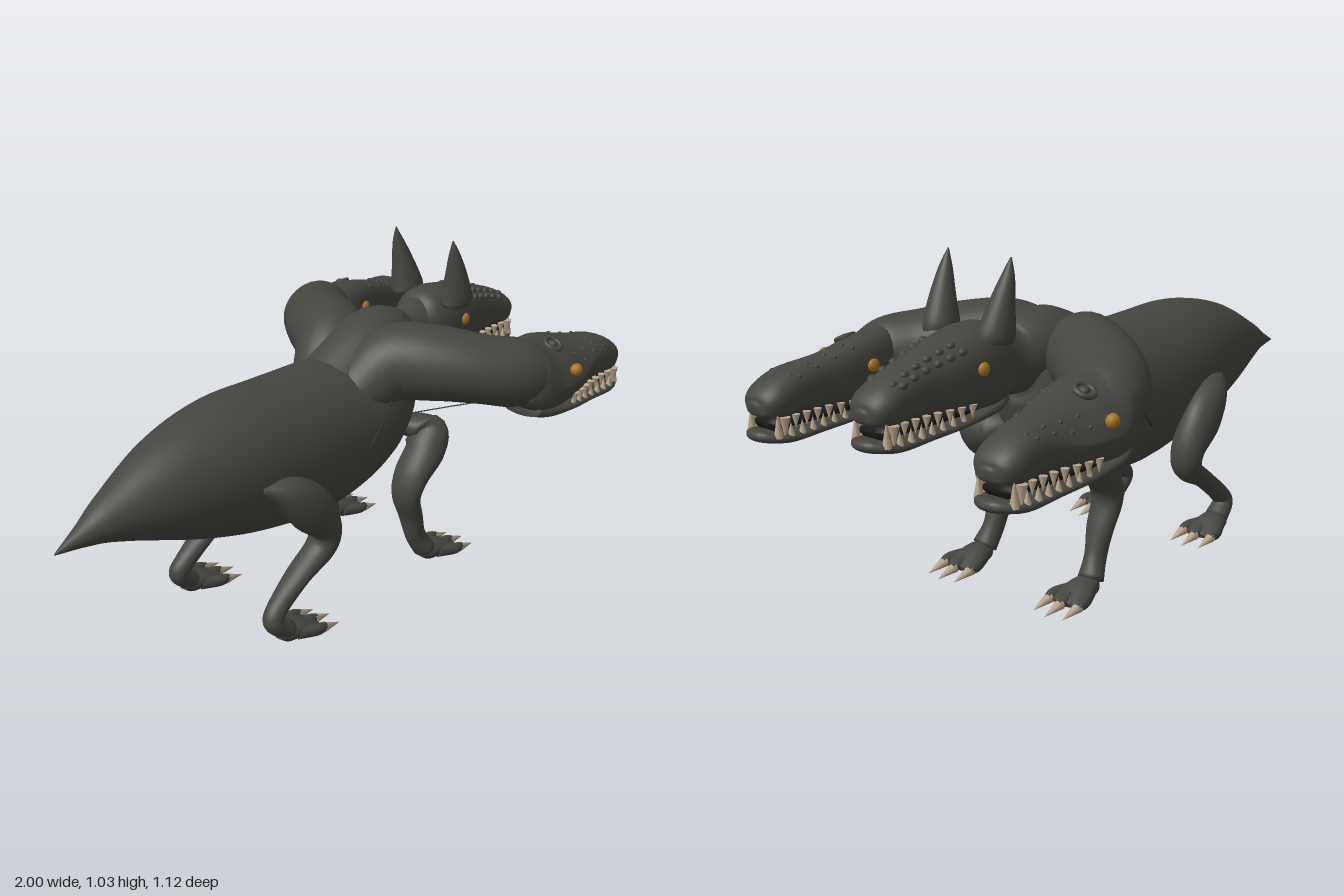
import * as THREE from 'three';

const mat = (name, color) => Object.assign(new THREE.MeshStandardMaterial({ color }), { name });

// Smooth skin through sections [x, y, z, half height, half width]; top and bottom squareness are separate
function loft(sections, { steps = 6, sides = 28, top = 2, bottom = 2, warp = v => v } = {}) {
  const path = new THREE.CatmullRomCurve3(sections.map(s => new THREE.Vector3(s[0], s[1], s[2])), false, 'catmullrom', 0.5);
  const size = new THREE.CatmullRomCurve3(sections.map(s => new THREE.Vector3(s[3], s[4], 0)), false, 'catmullrom', 0.5);
  const n = (sections.length - 1) * steps, pos = [], idx = [];
  const bend = (v, p) => Math.sign(v) * Math.abs(v) ** (2 / p);
  for (let i = 0; i <= n; i++) {
    const c = path.getPoint(i / n), r = size.getPoint(i / n), t = path.getTangent(i / n);
    const side = new THREE.Vector3(0, 0, 1).addScaledVector(t, -t.z).normalize();
    const up = side.clone().cross(t);
    for (let j = 0; j < sides; j++) {
      const a = j / sides * Math.PI * 2, p = Math.sin(a) >= 0 ? top : bottom;
      const v = warp(c.clone().addScaledVector(side, Math.max(r.y, 0.001) * bend(Math.cos(a), p))
        .addScaledVector(up, Math.max(r.x, 0.001) * bend(Math.sin(a), p)));
      pos.push(v.x, v.y, v.z);
    }
  }
  for (let i = 0; i < n; i++) for (let j = 0; j < sides; j++) {
    const a = i * sides + j, b = i * sides + (j + 1) % sides;
    idx.push(a, a + sides, b, b, a + sides, b + sides);
  }
  const first = path.getPoint(0), last = path.getPoint(1), k = pos.length / 3;
  pos.push(first.x, first.y, first.z, last.x, last.y, last.z);
  for (let j = 0; j < sides; j++) {
    const j2 = (j + 1) % sides;
    idx.push(k, j, j2, k + 1, n * sides + j2, n * sides + j);
  }
  const g = new THREE.BufferGeometry();
  g.setAttribute('position', new THREE.Float32BufferAttribute(pos, 3));
  g.setIndex(idx);
  g.computeVertexNormals();
  return g;
}

export function createModel() {
  const skin = mat('dark hide', 0x454640), dark = mat('mouth and crease black', 0x1c1c1a);
  const bone = mat('bone', 0xb9a68c), amber = mat('amber eye', 0xa8741f);
  const model = new THREE.Group();
  model.name = 'threeHeadedBeast';

  const add = (parent, name, geometry, material) => {
    const m = new THREE.Mesh(geometry, material);
    m.name = name;
    parent.add(m);
    return m;
  };
  // Cone from a base point to a tip
  const spike = (parent, name, base, tip, r, material) => {
    const a = new THREE.Vector3(...base), d = new THREE.Vector3(...tip).sub(a);
    const m = add(parent, name, new THREE.ConeGeometry(r, d.length(), 8), material);
    m.position.copy(a).addScaledVector(d, 0.5);
    m.quaternion.setFromUnitVectors(new THREE.Vector3(0, 1, 0), d.normalize());
  };
  const ball = (parent, name, p, s, material) => {
    const m = add(parent, name, new THREE.SphereGeometry(1, 12, 8), material);
    m.position.set(...p);
    m.scale.set(...s);
  };
  const strand = (name, points, r) => add(model, name, new THREE.TubeGeometry(
    new THREE.CatmullRomCurve3(points.map(p => new THREE.Vector3(...p))), 12, r, 6), dark);

  // Tapering tail, belly and chest
  add(model, 'body', loft([
    [-1, 0.49, 0, 0.002, 0.002], [-0.9, 0.51, 0, 0.035, 0.036], [-0.8, 0.527, 0, 0.076, 0.076],
    [-0.6, 0.54, 0, 0.16, 0.145], [-0.4, 0.533, 0, 0.213, 0.187], [-0.2, 0.511, 0, 0.232, 0.203],
    [-0.05, 0.5, 0, 0.24, 0.202], [0.1, 0.515, 0, 0.226, 0.198], [0.2, 0.56, 0, 0.2, 0.196],
    [0.3, 0.63, 0, 0.155, 0.16], [0.37, 0.665, 0, 0.1, 0.1], [0.41, 0.67, 0, 0.03, 0.04]], { sides: 40 }), skin);

  // Necks
  add(model, 'middleNeck', loft([
    [0.06, 0.59, 0, 0.13, 0.13], [0.28, 0.71, 0, 0.13, 0.13], [0.42, 0.705, 0, 0.1, 0.08],
    [0.52, 0.725, 0, 0.1, 0.08], [0.6, 0.73, 0, 0.08, 0.07]]), skin);
  for (const s of [1, -1]) add(model, s > 0 ? 'leftNeck' : 'rightNeck', loft([
    [0.02, 0.57, 0.05 * s, 0.06, 0.06], [0.14, 0.64, 0.08 * s, 0.1, 0.1], [0.24, 0.707, 0.13 * s, 0.122, 0.12],
    [0.32, 0.712, 0.235 * s, 0.118, 0.125], [0.41, 0.695, 0.345 * s, 0.108, 0.12], [0.5, 0.677, 0.415 * s, 0.108, 0.108],
    [0.59, 0.66, 0.435 * s, 0.075, 0.085]]), skin);

  // Head profile: x, top, bottom, half width
  const skull = [[0.47, 0.74, 0.6, 0.07], [0.52, 0.778, 0.555, 0.096], [0.6, 0.785, 0.55, 0.108], [0.7, 0.765, 0.56, 0.098],
    [0.8, 0.735, 0.576, 0.078], [0.88, 0.707, 0.578, 0.074], [0.94, 0.676, 0.574, 0.073], [0.975, 0.645, 0.583, 0.052],
    [0.99, 0.625, 0.6, 0.015]];
  const jaw = [[0.5, 0.59, 0.54, 0.07], [0.56, 0.575, 0.525, 0.09], [0.68, 0.55, 0.514, 0.088], [0.8, 0.543, 0.506, 0.08],
    [0.9, 0.54, 0.502, 0.08], [0.95, 0.545, 0.508, 0.072], [0.985, 0.55, 0.517, 0.045], [1, 0.545, 0.53, 0.015]];
  const rings = rows => rows.map(([x, t, b, w]) => [x, (t + b) / 2, 0, (t - b) / 2, w]);
  const at = (rows, x, k) => {
    const i = Math.max(1, rows.findIndex(r => r[0] >= x)), a = rows[i - 1], b = rows[i];
    return a[k] + (b[k] - a[k]) * (x - a[0]) / (b[0] - a[0]);
  };

  // outer is 0 for the horned middle head, otherwise the sign of the side it looks to
  function makeHead(name, z, lift, outer) {
    const head = new THREE.Group();
    head.name = name;
    head.position.set(0, lift, z);
    // The crown of a side head slopes down towards its outer side
    const slope = v => {
      const w = Math.abs(outer) * THREE.MathUtils.smoothstep(v.y, 0.6, 0.73) * (1 - THREE.MathUtils.smoothstep(v.x, 0.7, 0.92))
        * THREE.MathUtils.smoothstep(v.x, 0.48, 0.6);
      v.y -= w * (0.03 + 0.42 * outer * v.z);
      return v;
    };
    add(head, 'skull', loft(rings(skull), { top: 2.3, bottom: 3.5, warp: slope }), skin);
    add(head, 'lowerJaw', loft(rings(jaw), { top: 2.6, bottom: 2.2 }), skin);
    add(head, 'mouthInside', loft([[0.54, 0.562, 0, 0.025, 0.07], [0.75, 0.56, 0, 0.022, 0.06], [0.95, 0.56, 0, 0.02, 0.05]]), dark);
    for (const s of [1, -1]) {
      // Teeth, with large fangs in front
      for (let i = 0; i < 8; i++) {
        const x = 0.67 + i * 0.038, w = at(skull, x, 3) * 0.9 * s, fang = i > 6;
        spike(head, 'upperTooth', [x, 0.588, w], [x + 0.002, fang ? 0.525 : 0.548, w], fang ? 0.016 : 0.012, bone);
        const xl = x + 0.018, wl = at(jaw, xl, 3) * 0.84 * s;
        spike(head, 'lowerTooth', [xl, 0.53, wl], [xl, fang ? 0.605 : 0.57, wl], fang ? 0.014 : 0.011, bone);
      }
      // Eyes bulge most on the outer side
      const far = s === outer;
      ball(head, 'eye', [0.637, 0.68, (far ? 0.107 : 0.103) * s], [0.021, 0.02, far ? 0.019 : 0.014], amber);
      ball(head, 'nostril', [0.93, 0.65, 0.06 * s], [0.012, 0.012, 0.01], skin);
      // Warts along the snout
      const count = outer ? 4 : 6, r = outer ? 0.006 : 0.011;
      for (const [row, a] of [0.7, 1.05].entries()) for (let i = 0; i < count; i++) {
        const x = 0.69 + i * 0.24 / count + row * 0.018, t = at(skull, x, 1), b = at(skull, x, 2);
        const p = slope(new THREE.Vector3(x, (t + b) / 2 + (t - b) / 2 * Math.sin(a) ** 0.87,
          s * at(skull, x, 3) * Math.cos(a) ** 0.87));
        ball(head, 'wart', p.toArray(), [r * 1.3, r, r], skin);
      }
      if (!outer) add(head, 'horn', loft([
        [0.585, 0.752, 0.1 * s, 0.058, 0.045], [0.583, 0.775, 0.104 * s, 0.056, 0.049], [0.567, 0.85, 0.111 * s, 0.037, 0.036],
        [0.548, 0.92, 0.116 * s, 0.019, 0.02], [0.535, 0.972, 0.117 * s, 0.002, 0.002]]), skin);
    }
    if (outer) {
      // Raised ring on the sloping crown
      const spot = slope(new THREE.Vector3(0.635, 0.779, 0.015 * outer));
      const crown = add(head, 'crownRing', new THREE.TorusGeometry(0.027, 0.008, 8, 20), skin);
      crown.position.copy(spot);
      crown.rotation.x = -1.1 * outer;
      ball(head, 'crownBump', spot.toArray(), [0.016, 0.012, 0.015], skin);
    }
    model.add(head);
  }
  makeHead('middleHead', 0, 0.06, 0);
  makeHead('leftHead', 0.435, 0, 1);
  makeHead('rightHead', -0.435, 0, -1);

  // Legs: joints run from hip to ankle, toes fan out from the heel
  function makeLeg(name, joints, heelX, s) {
    const leg = new THREE.Group();
    leg.name = name;
    add(leg, 'limb', loft(joints.map(([x, y, z, a, b]) => [x, y, z * s, a, b])), skin);
    add(leg, 'foot', loft([[heelX - 0.025, 0.035, 0.212 * s, 0.012, 0.02], [heelX, 0.036, 0.212 * s, 0.03, 0.038],
      [heelX + 0.035, 0.036, 0.212 * s, 0.031, 0.046], [heelX + 0.08, 0.027, 0.212 * s, 0.022, 0.052],
      [heelX + 0.12, 0.02, 0.212 * s, 0.01, 0.04]]), skin);
    for (const k of [-1, 0, 1]) {
      const z = 0.212 + k * 0.03, z2 = 0.212 + k * 0.054, reach = heelX + (k ? 0.125 : 0.14);
      add(leg, 'toe', loft([[heelX + 0.03, 0.03, z * s, 0.02, 0.016], [reach - 0.035, 0.026, z2 * s, 0.019, 0.018],
        [reach, 0.022, z2 * s, 0.013, 0.013]], { sides: 14 }), skin);
      spike(leg, 'claw', [reach - 0.01, 0.021, z2 * s], [heelX + (k ? 0.19 : 0.205), 0.006, z2 * s], 0.017, bone);
    }
    model.add(leg);
  }
  const fore = [[0.3, 0.48, 0.1, 0.03, 0.05], [0.345, 0.457, 0.175, 0.052, 0.075], [0.315, 0.41, 0.207, 0.06, 0.066],
    [0.25, 0.345, 0.207, 0.043, 0.062], [0.228, 0.275, 0.203, 0.036, 0.053], [0.258, 0.19, 0.2, 0.032, 0.045],
    [0.283, 0.11, 0.203, 0.034, 0.034], [0.318, 0.05, 0.212, 0.034, 0.042]];
  const hind = [[-0.385, 0.515, 0.15, 0.015, 0.04], [-0.31, 0.48, 0.195, 0.055, 0.06], [-0.235, 0.41, 0.217, 0.073, 0.06],
    [-0.172, 0.325, 0.213, 0.05, 0.055], [-0.183, 0.258, 0.207, 0.041, 0.05], [-0.275, 0.197, 0.202, 0.029, 0.043],
    [-0.365, 0.125, 0.203, 0.03, 0.034], [-0.388, 0.085, 0.208, 0.032, 0.034], [-0.34, 0.043, 0.212, 0.032, 0.04]];
  for (const s of [1, -1]) {
    const label = s > 0 ? 'Left' : 'Right';
    makeLeg('front' + label + 'Leg', fore, 0.325, s);
    makeLeg('hind' + label + 'Leg', hind, -0.35, s);
    // Skin crease on the flank and loose strands under the neck
    strand('flankCrease', [[0, 0.445, 0.194 * s], [0.08, 0.535, 0.199 * s], [0.17, 0.63, 0.188 * s]], 0.003);
    strand('neckStrand', [[0.31, 0.52, 0.15 * s], [0.38, 0.55, 0.25 * s], [0.46, 0.585, 0.37 * s]], 0.002);
    strand('neckStrand', [[0.33, 0.57, 0.06 * s], [0.38, 0.57, 0.2 * s], [0.46, 0.59, 0.34 * s]], 0.002);
  }
  return model;
}
